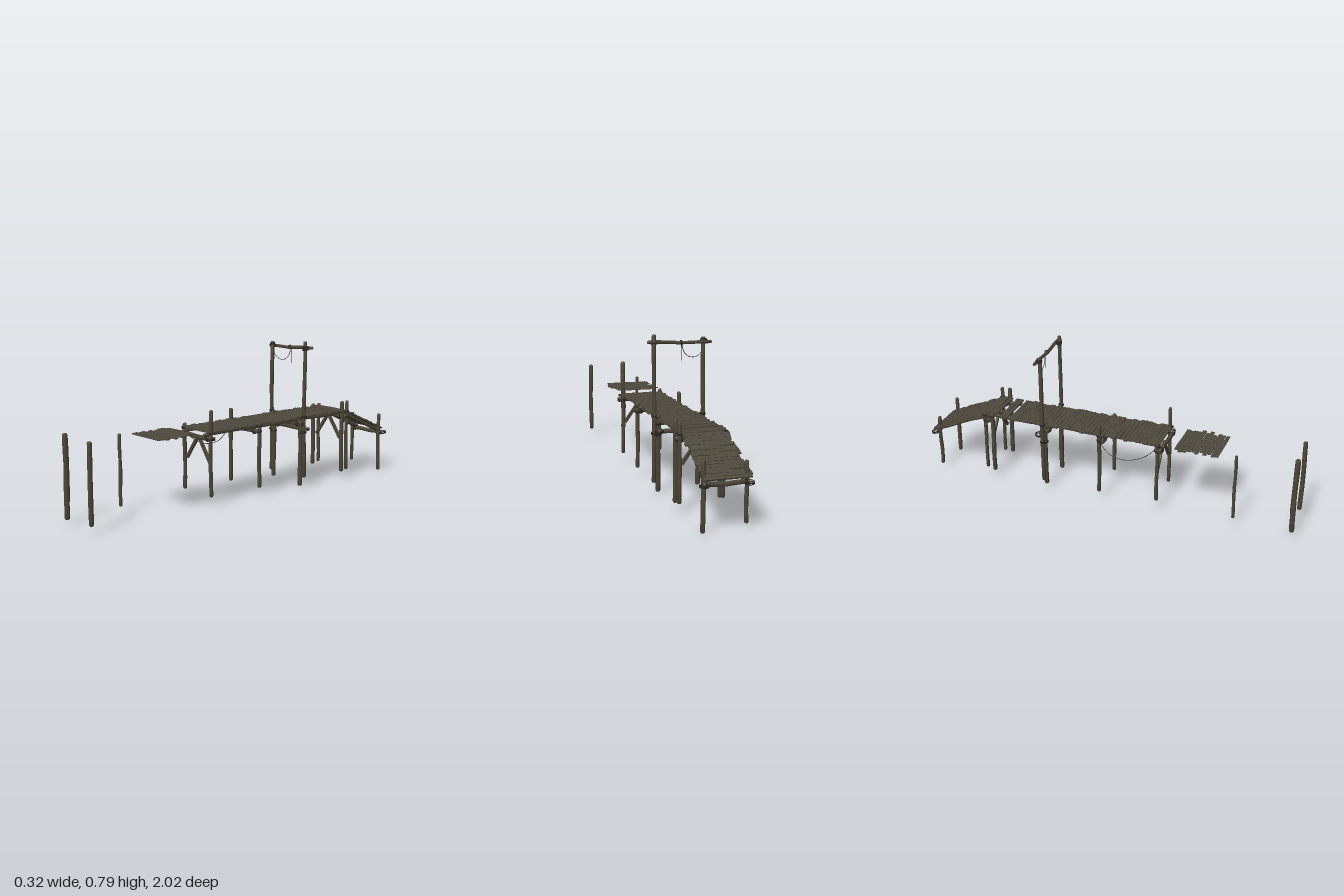
import * as THREE from 'three';
import { toCreasedNormals } from 'three/addons/utils/BufferGeometryUtils.js';

const mat = (name, color) => {
  const m = new THREE.MeshStandardMaterial({ color });
  m.name = name;
  return m;
};
const V = (x, y, z) => new THREE.Vector3(x, y, z);
const UP = V(0, 1, 0);

export function createModel() {
  const root = new THREE.Group();
  root.name = 'brokenPier';
  const logWood = mat('weatheredLog', 0x4c4638);
  const plankWood = mat('weatheredPlank', 0x4e493d);
  const ropeMat = mat('darkRope', 0x2a261f);

  let seed = 7;
  const rnd = () => (seed = (seed * 16807) % 2147483647) / 2147483647;
  const jit = (a) => (rnd() * 2 - 1) * a;

  const group = (name) => {
    const g = new THREE.Group();
    g.name = name;
    root.add(g);
    return g;
  };
  const add = (parent, name, geo, material) => {
    const m = new THREE.Mesh(geo, material);
    m.name = name;
    parent.add(m);
    return m;
  };

  // Slightly crooked round log with bevelled ends, from a to b
  function log(parent, name, a, b, r, bend = 0.002) {
    const L = a.distanceTo(b), bev = r * 0.5;
    const pts = [[0, 0], [r * 0.75, 0], [r, bev]];
    for (let i = 1; i < 6; i++) pts.push([r * (1 + jit(0.06)), L * i / 6]);
    pts.push([r * 0.97, L - bev], [r * 0.75, L], [0, L]);
    const geo = new THREE.LatheGeometry(pts.map((p) => new THREE.Vector2(...p)), 10);
    const p = geo.attributes.position, ph = rnd() * 6, k = 5 + rnd() * 4;
    for (let i = 0; i < p.count; i++) {
      const t = p.getY(i) / L;
      p.setX(i, p.getX(i) + bend * Math.sin(k * t + ph));
      p.setZ(i, p.getZ(i) + bend * Math.cos(k * t + ph * 2));
    }
    const m = add(parent, name, toCreasedNormals(geo, 0.7), logWood);
    m.position.copy(a);
    m.quaternion.setFromUnitVectors(UP, b.clone().sub(a).normalize());
    return m;
  }

  // Rope turns wound round a log at a point
  function lashing(parent, c, r, dir = UP, turns = 3) {
    for (let i = 0; i < turns; i++) {
      const m = add(parent, 'lashing', new THREE.TorusGeometry(r, 0.0022, 5, 12), ropeMat);
      m.position.copy(c).addScaledVector(dir, (i - (turns - 1) / 2) * 0.004);
      m.quaternion.setFromUnitVectors(V(0, 0, 1), dir);
      m.rotateX(jit(0.12));
      m.rotateY(jit(0.12));
    }
  }

  const rope = (parent, name, pts) => add(parent, name,
    new THREE.TubeGeometry(new THREE.CatmullRomCurve3(pts), 24, 0.0016, 5), ropeMat);

  // Upright posts: x, z, bottom, top, radius
  const posts = group('posts');
  [
    [-0.103, 0.985, 0.03, 0.44, 0.0135], [0.1, 0.985, 0.04, 0.432, 0.0115],
    [-0.1, 0.685, 0.04, 0.4, 0.0085],
    [-0.108, 0.28, 0.06, 0.4, 0.01], [0.1, 0.28, 0.055, 0.493, 0.0095],
    [-0.112, -0.032, 0.05, 0.44, 0.0105], [0.112, -0.032, 0.055, 0.395, 0.0105],
    [-0.105, -0.338, 0.03, 0.395, 0.0125], [0.102, -0.338, 0.012, 0.395, 0.0125],
    [-0.105, -0.642, 0.05, 0.395, 0.0115], [0.115, -0.642, 0.045, 0.437, 0.0115],
    [-0.105, -0.685, 0.06, 0.395, 0.0095], [0.11, -0.685, 0.05, 0.437, 0.0095],
    [-0.103, -0.967, 0.025, 0.31, 0.01], [0.1, -0.967, 0, 0.327, 0.0105],
  ].forEach(([x, z, y0, y1, r]) => log(posts, 'post', V(x, y0, z), V(x, y1, z), r, 0.0015));

  // Cross beams tied to the posts
  const beams = group('crossBeams');
  [[0.295, 0.352], [-0.015, 0.35], [-0.322, 0.35], [-0.36, 0.318], [-0.662, 0.35], [-0.984, 0.218]]
    .forEach(([z, y]) => {
      const w = y < 0.33 ? 0.108 : 0.125;
      log(beams, 'crossBeam', V(-w, y, z), V(w, y + 0.002, z), 0.0115);
      for (const s of [-1, 1]) {
        lashing(beams, V(s * 0.105, y, z - 0.01), 0.0215);
        lashing(beams, V(s * 0.093, y, z), 0.0135, V(1, 0, 0), 2);
      }
    });

  // Diagonal braces under two of the beams
  for (const z of [0.278, -0.655]) {
    for (const s of [-1, 1]) {
      const a = V(s * 0.09, 0.228, z), b = V(s * 0.006, 0.345, z);
      const m = add(beams, 'brace', new THREE.BoxGeometry(0.016, a.distanceTo(b), 0.012), logWood);
      m.position.copy(a).lerp(b, 0.5);
      m.quaternion.setFromUnitVectors(UP, b.clone().sub(a).normalize());
    }
  }

  // Long stringers carrying the deck and the ramp
  const stringers = group('stringers');
  for (const s of [-1, 1]) {
    const x = s * 0.082;
    log(stringers, 'stringer', V(x, 0.37, 0.31), V(x, 0.37, -0.2), 0.0085);
    log(stringers, 'stringer', V(x - s * 0.017, 0.37, -0.02), V(x - s * 0.017, 0.37, -0.38), 0.008);
    log(stringers, 'stringer', V(x, 0.37, -0.19), V(x, 0.369, -0.7), 0.0085);
    log(stringers, 'rampStringer', V(x, 0.363, -0.675), V(x, 0.228, -0.99), 0.0095);
  }

  // Row of uneven boards between two points on the centre line
  function planks(name, z0, y0, z1, y1, thick, cx, skip = []) {
    const g = group(name);
    const len = Math.hypot(z1 - z0, y1 - y0), n = Math.round(len / 0.0215);
    const pitch = len / n, tilt = Math.atan2(y1 - y0, z0 - z1);
    for (let i = 0; i < n; i++) {
      const t = (i + 0.5) / n, w = pitch * (0.93 + jit(0.05));
      const geo = new THREE.BoxGeometry(0.224 + jit(0.009), thick, w, 4, 1, 1);
      const p = geo.attributes.position, ph = rnd() * 6;
      for (let k = 0; k < p.count; k++) {
        const wob = Math.sin(p.getX(k) * 40 + ph);
        p.setY(k, p.getY(k) + 0.0006 * wob);
        p.setZ(k, p.getZ(k) * (1 + 0.07 * wob));
      }
      const dx = jit(0.007), yaw = jit(0.02), roll = jit(0.008);
      if (skip.includes(i)) continue;
      const m = add(g, 'plank', toCreasedNormals(geo, 0.5), plankWood);
      m.position.set(cx + dx, y0 + (y1 - y0) * t, z0 + (z1 - z0) * t);
      m.rotation.set(tilt, yaw, roll);
    }
    return g;
  }
  planks('deckPlanks', 0.29, 0.382, -0.54, 0.382, 0.007, -0.002);
  planks('patchyPlanks', -0.555, 0.382, -0.69, 0.381, 0.007, -0.004, [2]);
  planks('rampPlanks', -0.69, 0.378, -0.997, 0.241, 0.007, -0.006);
  const loose = planks('loosePlanks', 0.6, 0.385, 0.372, 0.385, 0.004, -0.016);
  [2, 4, 6].forEach((i) => { loose.children[i].position.x += 0.02; });

  // Tall gateway: two poles lashed to the posts, a crossbar and loose rope
  const gate = group('gateway');
  for (const [s, x, top, ly] of [[-1, -0.128, 0.77, 0.29], [1, 0.123, 0.789, 0.306]]) {
    log(gate, 'gatePole', V(x, 0.06, -0.343), V(x, top, -0.343), 0.0105, 0.0015);
    for (const y of [0.39, ly]) {
      lashing(gate, V(x, y, -0.343), 0.0125);
      lashing(gate, V(s * 0.105, y - 0.008, -0.338), 0.0145, UP, 2);
    }
    lashing(gate, V(x, 0.75, -0.349), 0.0165, V(0, 0.9, s * 0.43).normalize());
    lashing(gate, V(x, 0.757, -0.346), 0.0135);
  }
  log(gate, 'crossbar', V(-0.163, 0.744, -0.359), V(0.161, 0.755, -0.359), 0.0085, 0.0025);
  lashing(gate, V(-0.008, 0.749, -0.359), 0.0095, V(1, 0, 0), 2);
  rope(gate, 'swagRope', [V(-0.12, 0.705, -0.352), V(-0.1, 0.684, -0.358), V(-0.07, 0.675, -0.362),
    V(-0.038, 0.685, -0.364), V(-0.017, 0.712, -0.366), V(-0.008, 0.752, -0.368)]);
  rope(gate, 'hangingRope', [V(-0.008, 0.757, -0.368), V(-0.006, 0.71, -0.37), V(-0.007, 0.662, -0.369)]);

  // Sagging rope beside the deck
  rope(root, 'sideRope', [V(-0.118, 0.365, 0.275), V(-0.12, 0.315, 0.225), V(-0.12, 0.28, 0.16),
    V(-0.12, 0.268, 0.1), V(-0.12, 0.279, 0.04), V(-0.12, 0.31, 0), V(-0.118, 0.345, -0.025)]);

  // Rope turns on posts at deck level
  const ties = group('postTies');
  for (const z of [0.28, -0.032, -0.642, -0.685]) {
    for (const s of [-1, 1]) lashing(ties, V(s * 0.109, 0.378, z), 0.0145, UP, 2);
  }
  return root;
}
